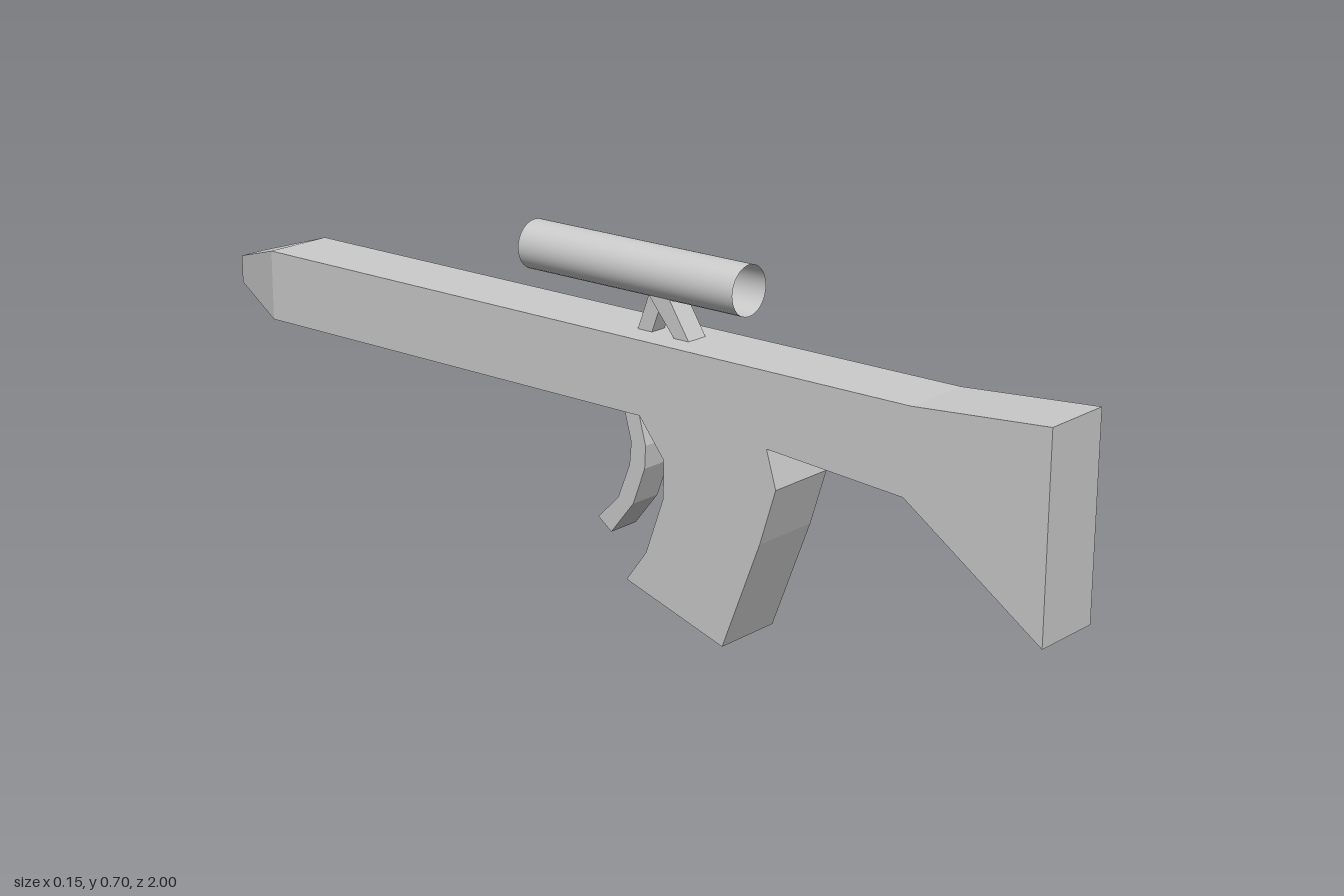
import * as THREE from 'three';

const flat = new THREE.MeshStandardMaterial({ color: 0xcccccc, flatShading: true });
const smooth = new THREE.MeshStandardMaterial({ color: 0xcccccc, side: THREE.DoubleSide });

// Side outline given as [z, y] points, extruded symmetrically across x
function slab(name, points, width) {
  const shape = new THREE.Shape(points.map(([z, y]) => new THREE.Vector2(z, y)));
  const geometry = new THREE.ExtrudeGeometry(shape, { depth: width, bevelEnabled: false });
  geometry.translate(0, 0, -width / 2).rotateY(-Math.PI / 2);
  const mesh = new THREE.Mesh(geometry, flat);
  mesh.name = name;
  return mesh;
}

// Tapered four-sided muzzle: rectangular sections joined in a loop, ending in a sunken point
function muzzle() {
  const sections = [
    // z, half width, bottom, top
    [-0.86, 0.074, 0.402, 0.545],
    [-1, 0.03, 0.447, 0.503],
    [-0.955, 0, 0.475, 0.475],
  ];
  const positions = [], index = [];
  for (const [z, w, y0, y1] of sections) {
    positions.push(-w, y0, z, w, y0, z, w, y1, z, -w, y1, z);
  }
  for (let s = 0; s < sections.length - 1; s++) {
    for (let i = 0; i < 4; i++) {
      const a = s * 4 + i, b = s * 4 + (i + 1) % 4;
      index.push(a, a + 4, b);
      if (s === 0) index.push(b, a + 4, b + 4);
    }
  }
  const geometry = new THREE.BufferGeometry();
  geometry.setAttribute('position', new THREE.Float32BufferAttribute(positions, 3));
  geometry.setIndex(index);
  geometry.computeVertexNormals();
  const mesh = new THREE.Mesh(geometry, flat);
  mesh.name = 'muzzle';
  return mesh;
}

// Sight tube, open at +z and closed at -z
function sight() {
  const group = new THREE.Group();
  group.name = 'sight';
  const radius = 0.048, length = 0.515;
  const tube = new THREE.Mesh(
    new THREE.CylinderGeometry(radius, radius, length, 32, 1, true).rotateX(Math.PI / 2), smooth);
  tube.name = 'sightTube';
  const cap = new THREE.Mesh(new THREE.CircleGeometry(radius, 32).rotateY(Math.PI), smooth);
  cap.name = 'sightCap';
  cap.position.z = -length / 2;
  group.add(tube, cap);
  group.position.set(0, 0.657, 0.055);
  return group;
}

export function createModel() {
  const model = new THREE.Group();
  model.name = 'rifle';

  // Stock, barrel and curved grip share one outline
  model.add(slab('stockBarrelAndGrip', [
    [1, 0.567], [1, 0.18], [0.71, 0.38], [0.415, 0.402],
    [0.437, 0.33], [0.403, 0.22], [0.32, 0.002], [0.09, 0.076],
    [0.137, 0.14], [0.178, 0.255], [0.178, 0.33], [0.12, 0.402],
    [-0.86, 0.402], [-0.86, 0.545], [0.72, 0.545],
  ], 0.148));
  model.add(muzzle());

  model.add(slab('trigger', [
    [0.08, 0.41], [0.102, 0.33], [0.1, 0.285], [0.072, 0.21], [0.018, 0.142],
    [-0.014, 0.165], [0.035, 0.215], [0.063, 0.285], [0.067, 0.33], [0.045, 0.41],
  ], 0.07));

  // Two slanted legs carry the sight
  model.add(slab('rearSightLeg',
    [[0.197, 0.54], [0.163, 0.54], [0.1, 0.615], [0.145, 0.62]], 0.048));
  model.add(slab('frontSightLeg',
    [[0.1, 0.54], [0.066, 0.54], [0.096, 0.62], [0.13, 0.62]], 0.036));
  model.add(sight());

  return model;
}
